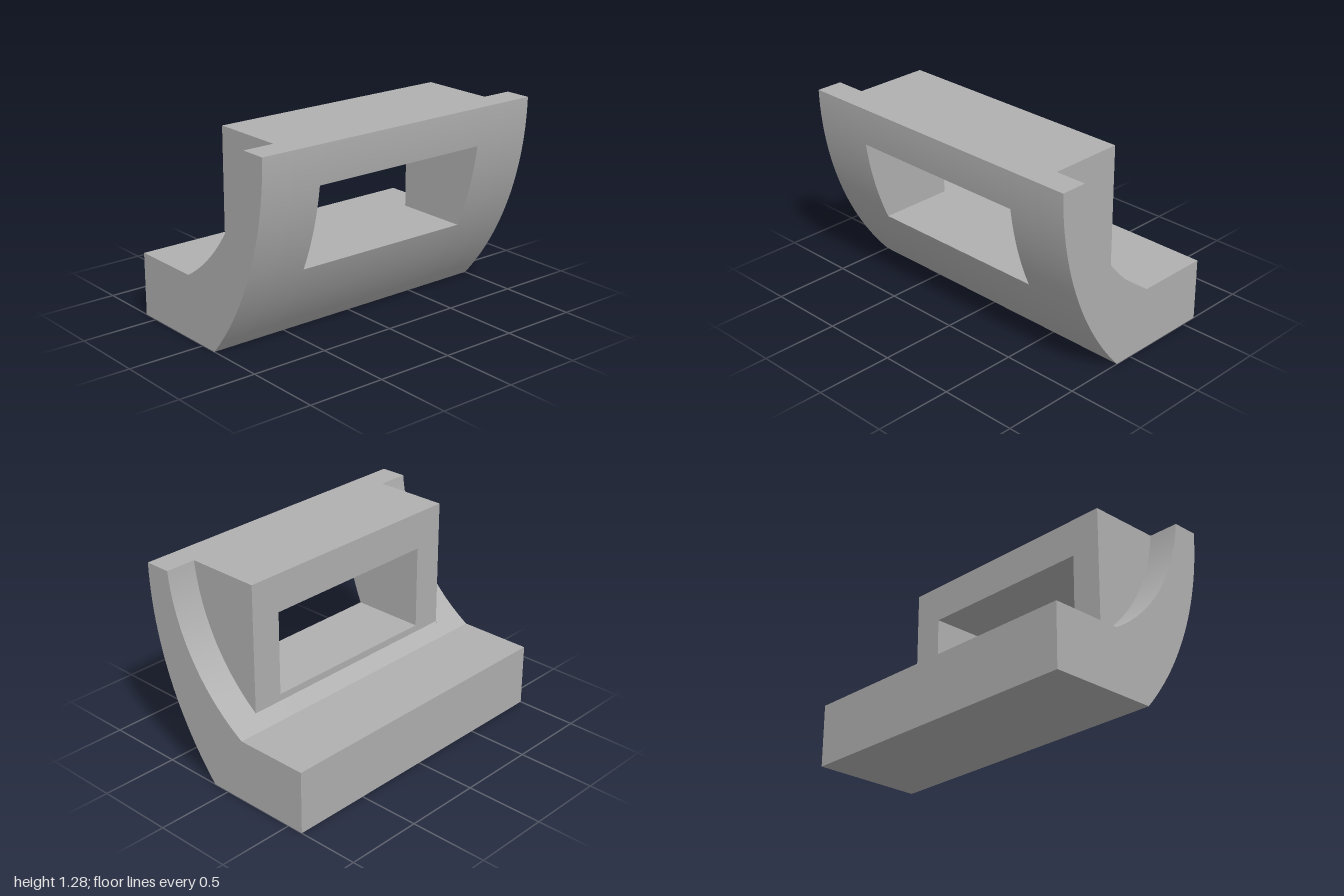
import * as THREE from 'three';
import { mergeGeometries, toCreasedNormals } from 'three/addons/utils/BufferGeometryUtils.js';

const LEFT = -0.605, BLOCK = -0.04, FOOT = 0.4, TOP = 1.28;
const SILL = 0.505, LINTEL = 1.04;
const Z_WINDOW = 0.6, Z_BLOCK = 0.8, Z_END = 1;

// Circle through three points, returned as x(y) and y(x) on its right lower quarter
function arcThrough([ax, ay], [bx, by], [cx, cy]) {
  const a = ax * ax + ay * ay, b = bx * bx + by * by, c = cx * cx + cy * cy;
  const d = 2 * (ax * (by - cy) + bx * (cy - ay) + cx * (ay - by));
  const ox = (a * (by - cy) + b * (cy - ay) + c * (ay - by)) / d;
  const oy = (a * (cx - bx) + b * (ax - cx) + c * (bx - ax)) / d;
  const r = Math.hypot(ax - ox, ay - oy);
  return {
    x: (y) => ox + Math.sqrt(r * r - (y - oy) ** 2),
    y: (x) => oy - Math.sqrt(r * r - (x - ox) ** 2),
  };
}
const outer = arcThrough([0.113, 0], [0.387, 0.4], [0.605, TOP]);
const inner = arcThrough([-0.132, FOOT], [0.2, 0.693], [0.437, TOP]);
const BLOCK_FOOT = inner.y(BLOCK);

// Points up an arc between two heights, on shared levels
function climb(arc, y0, y1) {
  const ys = [y0];
  for (let i = 0; i <= 40; i++) {
    const y = (TOP * i) / 40;
    if (y > y0 + 0.005 && y < y1 - 0.005) ys.push(y);
  }
  return [...ys, y1].map((y) => [arc.x(y), y]);
}

function fromTriangles(positions) {
  const g = new THREE.BufferGeometry();
  g.setAttribute('position', new THREE.Float32BufferAttribute(positions, 3));
  return g;
}

// Side walls of a counter-clockwise outline, without end caps
function walls(outline, z0, z1) {
  const out = [];
  outline.forEach((p, i) => {
    const q = outline[(i + 1) % outline.length];
    out.push(...p, z0, ...q, z0, ...q, z1, ...p, z0, ...q, z1, ...p, z1);
  });
  return fromTriangles(out);
}

// Flat face at height z, looking along +z or -z
function face(outline, z, direction) {
  const contour = outline.map((p) => new THREE.Vector2(...p));
  const out = [];
  for (const [a, b, c] of THREE.ShapeUtils.triangulateShape(contour, [])) {
    for (const i of direction > 0 ? [a, b, c] : [a, c, b]) out.push(...outline[i], z);
  }
  return fromTriangles(out);
}

export function createModel() {
  const grey = new THREE.MeshStandardMaterial({ color: 0xb0b0b0 });
  grey.name = 'grey';
  const group = new THREE.Group();
  const add = (name, parts) => {
    const mesh = new THREE.Mesh(toCreasedNormals(mergeGeometries(parts), 0.3), grey);
    mesh.name = name;
    group.add(mesh);
  };

  // Outlines in the x-y plane
  const foot = [[LEFT, FOOT], [LEFT, 0]];
  const ramp = climb(inner, FOOT, BLOCK_FOOT).reverse();
  const rib = [...foot, ...climb(outer, 0, TOP), ...climb(inner, FOOT, TOP).reverse()];
  const full = [...foot, ...climb(outer, 0, TOP), [BLOCK, TOP], ...ramp];
  const below = [...foot, ...climb(outer, 0, SILL), [BLOCK, SILL], ...ramp];
  const above = [[BLOCK, LINTEL], ...climb(outer, LINTEL, TOP), [BLOCK, TOP]];
  const opening = [[BLOCK, SILL], ...climb(outer, SILL, LINTEL), [BLOCK, LINTEL]];
  const cheek = [...climb(inner, BLOCK_FOOT, TOP), [BLOCK, TOP]];

  for (const side of [1, -1]) {
    const label = side > 0 ? 'front' : 'back';
    const span = (a, b) => (side > 0 ? [a, b] : [-b, -a]);
    // Curved end section with its outer end face
    add(label + 'CurvedEnd', [
      walls(rib, ...span(Z_BLOCK, Z_END)),
      face(rib, side * Z_END, side),
    ]);
    // Solid upright beside the window, with its outer cheek and inner jamb
    add(label + 'WindowUpright', [
      walls(full, ...span(Z_WINDOW, Z_BLOCK)),
      face(cheek, side * Z_BLOCK, side),
      face(opening, side * Z_WINDOW, -side),
    ]);
  }

  // Middle stretch below and above the window
  add('windowSillAndFoot', [walls(below, -Z_WINDOW, Z_WINDOW)]);
  add('windowLintel', [walls(above, -Z_WINDOW, Z_WINDOW)]);
  return group;
}
